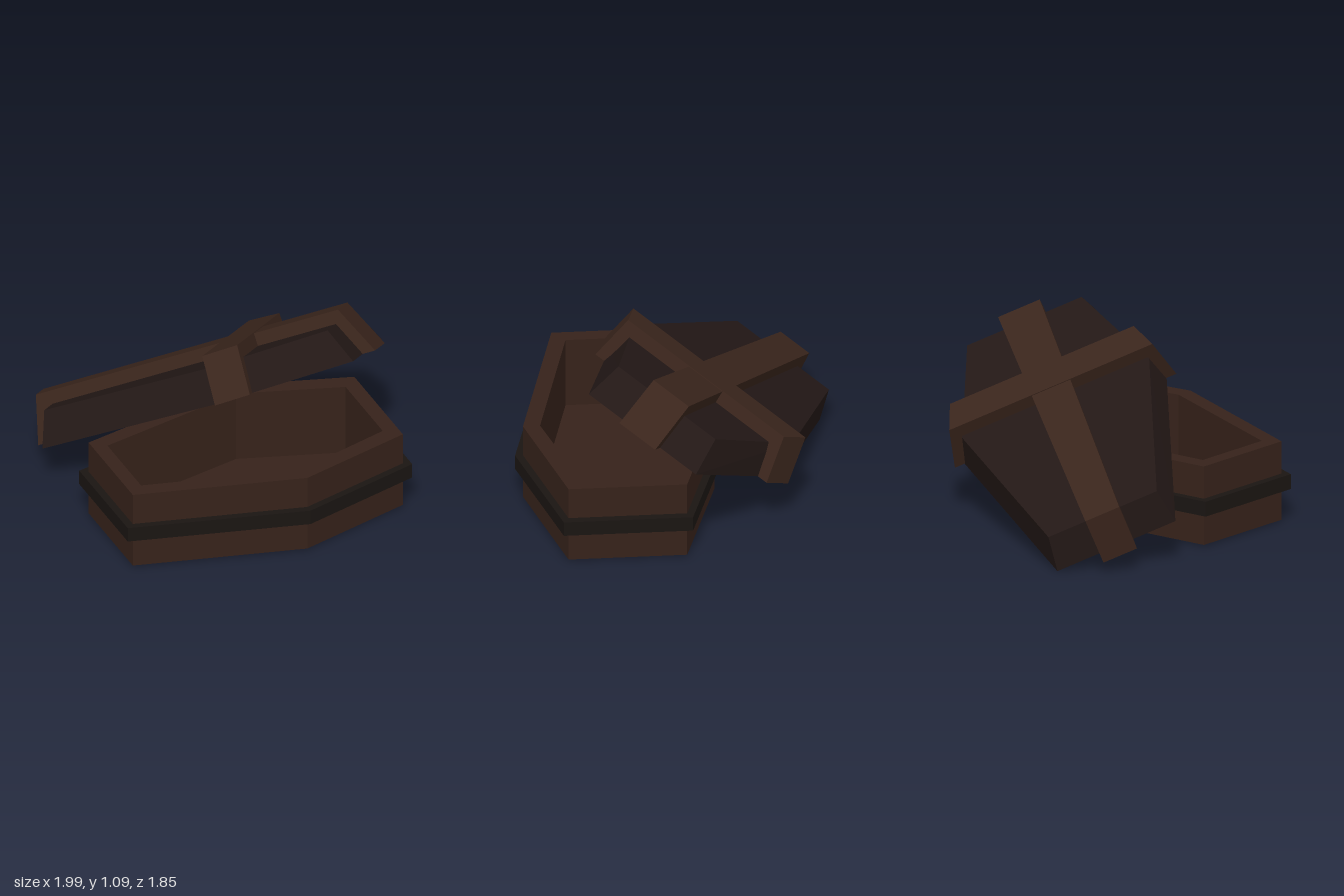
import * as THREE from 'three';

const material = (color) => new THREE.MeshStandardMaterial({ color });
const bodyWood = material(0x36221a);
const lidWood = material(0x231816);
const strapWood = material(0x3a251c);
const bandWood = material(0x1a1512);

// Symmetric six-sided outline from three [x, halfWidth] stations
const ring = (stations, y) => [
  ...stations.map(([x, h]) => new THREE.Vector3(x, y, h)),
  ...[...stations].reverse().map(([x, h]) => new THREE.Vector3(x, y, -h)),
];

// Flat-faced skin through successive rings, optionally closed at both ends
function loft(rings, capped) {
  const pos = [];
  const tri = (...pts) => pts.forEach((p) => pos.push(p.x, p.y, p.z));
  const n = rings[0].length;
  for (let k = 0; k < rings.length - 1; k++) {
    for (let i = 0; i < n; i++) {
      const j = (i + 1) % n;
      const [a, b, c, d] = [rings[k][i], rings[k][j], rings[k + 1][j], rings[k + 1][i]];
      tri(a, b, c);
      tri(a, c, d);
    }
  }
  if (capped) {
    const first = rings[0], last = rings[rings.length - 1];
    for (let i = 1; i < n - 1; i++) {
      tri(first[0], first[i + 1], first[i]);
      tri(last[0], last[i], last[i + 1]);
    }
  }
  const g = new THREE.BufferGeometry();
  g.setAttribute('position', new THREE.Float32BufferAttribute(pos, 3));
  g.computeVertexNormals();
  return g;
}

// Bent strap: a U-shaped profile extruded to a width, then adjusted by a rule
function strapGeometry(profile, width, rule) {
  const shape = new THREE.Shape(profile.map(([x, y]) => new THREE.Vector2(x, y)));
  const g = new THREE.ExtrudeGeometry(shape, { depth: width, bevelEnabled: false });
  rule(g);
  g.computeVertexNormals();
  return g;
}

function add(parent, name, geometry, mat) {
  const mesh = new THREE.Mesh(geometry, mat);
  mesh.name = name;
  parent.add(mesh);
  return mesh;
}

export function createModel() {
  const model = new THREE.Group();
  model.name = 'openCoffin';

  // Hollow box
  const base = new THREE.Group();
  base.name = 'base';
  base.position.z = 0.325;
  model.add(base);
  const outer = [[-0.865, 0.31], [0.12, 0.548], [0.81, 0.34]];
  const inner = [[-0.78, 0.235], [0.12, 0.45], [0.72, 0.26]];
  add(base, 'body', loft([
    ring(outer, 0.01), ring(outer, 0.485), ring(inner, 0.485), ring(inner, 0.045),
  ], true), bodyWood);

  // Band around the box
  const bandOuter = [[-0.91, 0.34], [0.12, 0.593], [0.855, 0.37]];
  add(base, 'band', loft([
    ring(outer, 0.2), ring(bandOuter, 0.2), ring(bandOuter, 0.29), ring(outer, 0.29),
  ], false), bandWood);

  // Lid frame: x runs foot to head, y out of the top, z across
  const lid = new THREE.Group();
  lid.name = 'lid';
  const along = new THREE.Vector3(0.822, 0.355, 0.445).normalize();
  const up = new THREE.Vector3(-0.566, 0.372, 0.737).cross(along).normalize();
  const across = along.clone().cross(up);
  lid.quaternion.setFromRotationMatrix(new THREE.Matrix4().makeBasis(along, up, across));
  lid.position.set(-0.79, 0.138, -0.61);
  model.add(lid);

  // Bevelled shell with a recessed underside
  const rim = [[0, 0.366], [1.123, 0.625], [1.909, 0.392]];
  const top = [[0.07, 0.336], [1.115, 0.58], [1.81, 0.355]];
  const recess = [[0.098, 0.268], [1.123, 0.513], [1.806, 0.296]];
  add(lid, 'lidShell', loft([
    ring(recess, 0.16), ring(recess, 0), ring(rim, 0), ring(top, 0.207),
  ], true), lidWood);

  // Lengthwise strap, slightly wider towards the head
  add(lid, 'longStrap', strapGeometry([
    [-0.085, 0], [0.005, 0], [0.08, 0.195], [1.8, 0.195],
    [1.9, 0], [1.985, 0], [1.846, 0.283], [-0.01, 0.283],
  ], 1, (g) => {
    const p = g.attributes.position;
    for (let i = 0; i < p.count; i++) {
      p.setZ(i, (p.getZ(i) - 0.5) * (0.21 + 0.026 * p.getX(i)));
    }
  }), strapWood);

  // Cross strap, its ends following the narrowing sides
  add(lid, 'crossStrap', strapGeometry([
    [-0.687, 0], [-0.6, 0], [-0.55, 0.19], [0.55, 0.19],
    [0.6, 0], [0.687, 0], [0.63, 0.288], [-0.63, 0.288],
  ], 0.2, (g) => {
    g.rotateY(Math.PI / 2);
    const p = g.attributes.position;
    for (let i = 0; i < p.count; i++) {
      p.setZ(i, p.getZ(i) - Math.sign(p.getZ(i)) * 0.3 * p.getX(i));
    }
    g.translate(1.13, 0, 0);
  }), strapWood);

  return model;
}
